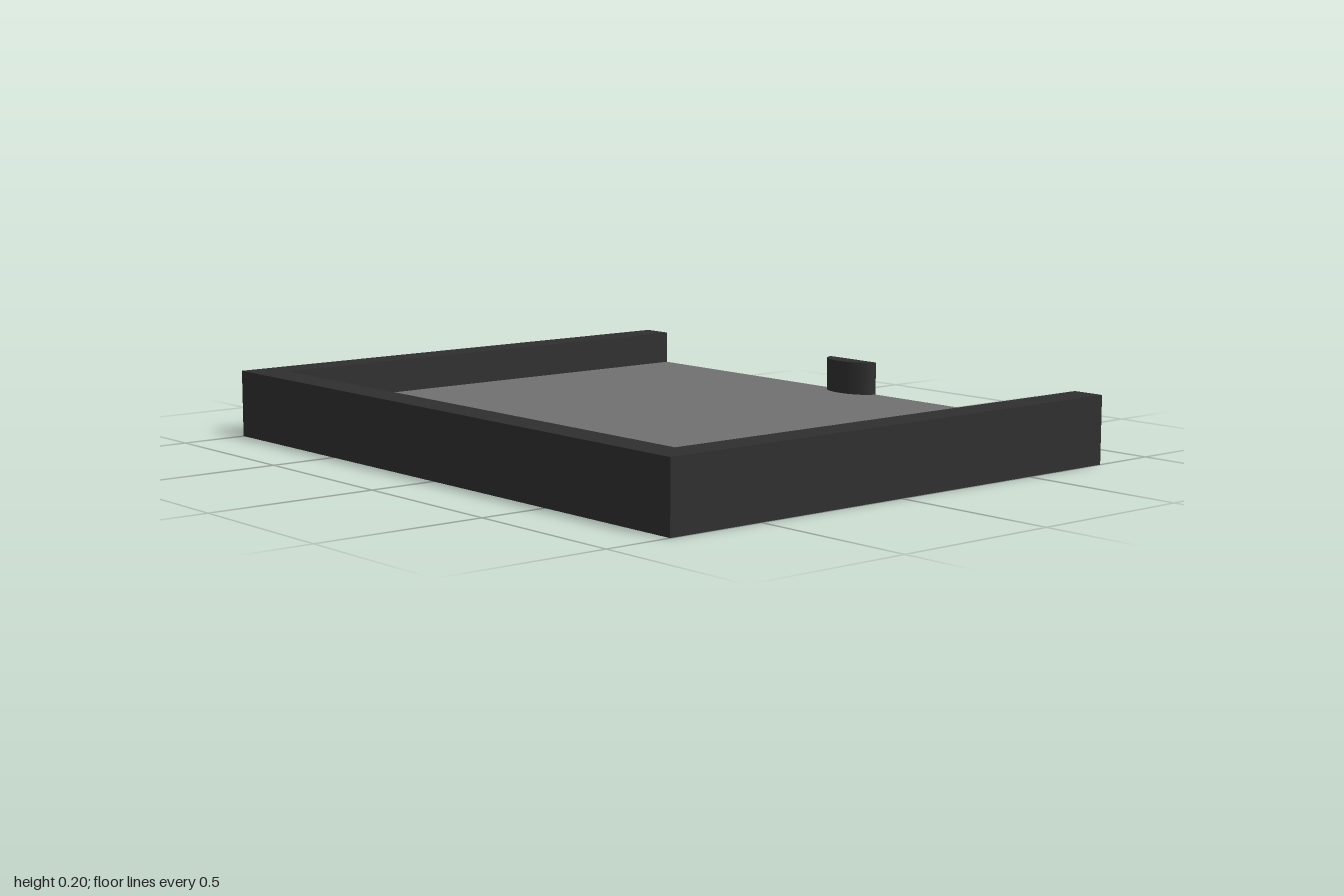
import * as THREE from 'three';

export function createModel() {
  const model = new THREE.Group();
  const dark = new THREE.MeshStandardMaterial({ color: 0x2f2f2f });
  const grey = new THREE.MeshStandardMaterial({ color: 0x707070 });

  const add = (name, geometry, material, y = 0, z = 0) => {
    const mesh = new THREE.Mesh(geometry, material);
    mesh.name = name;
    mesh.position.set(0, y, z);
    model.add(mesh);
  };

  // Extrudes a plan outline upward; shape y points to the back (-z)
  const extrudeUp = (shape, height) =>
    new THREE.ExtrudeGeometry(shape, { depth: height, bevelEnabled: false, curveSegments: 32 })
      .rotateX(-Math.PI / 2);

  // U-shaped rim, open at the back
  const rim = new THREE.Shape([
    [-1, -0.8], [1, -0.8], [1, 0.8], [0.9, 0.8],
    [0.9, -0.7], [-0.9, -0.7], [-0.9, 0.8], [-1, 0.8],
  ].map(([x, y]) => new THREE.Vector2(x, y)));
  add('rim', extrudeUp(rim, 0.2), dark);

  // Grey floor slab over a thin dark underside
  add('floor', new THREE.BoxGeometry(1.8, 0.096, 1.499), grey, 0.052, -0.0495);
  add('underside', new THREE.BoxGeometry(1.8, 0.004, 1.5), dark, 0.002, -0.05);

  // Half-oval stop at the middle of the back edge
  const stop = new THREE.Shape();
  stop.absellipse(0, 0, 0.1, 0.06, Math.PI, Math.PI * 2, false);
  stop.closePath();
  add('backStop', extrudeUp(stop, 0.2), dark, 0, -0.8);

  return model;
}
